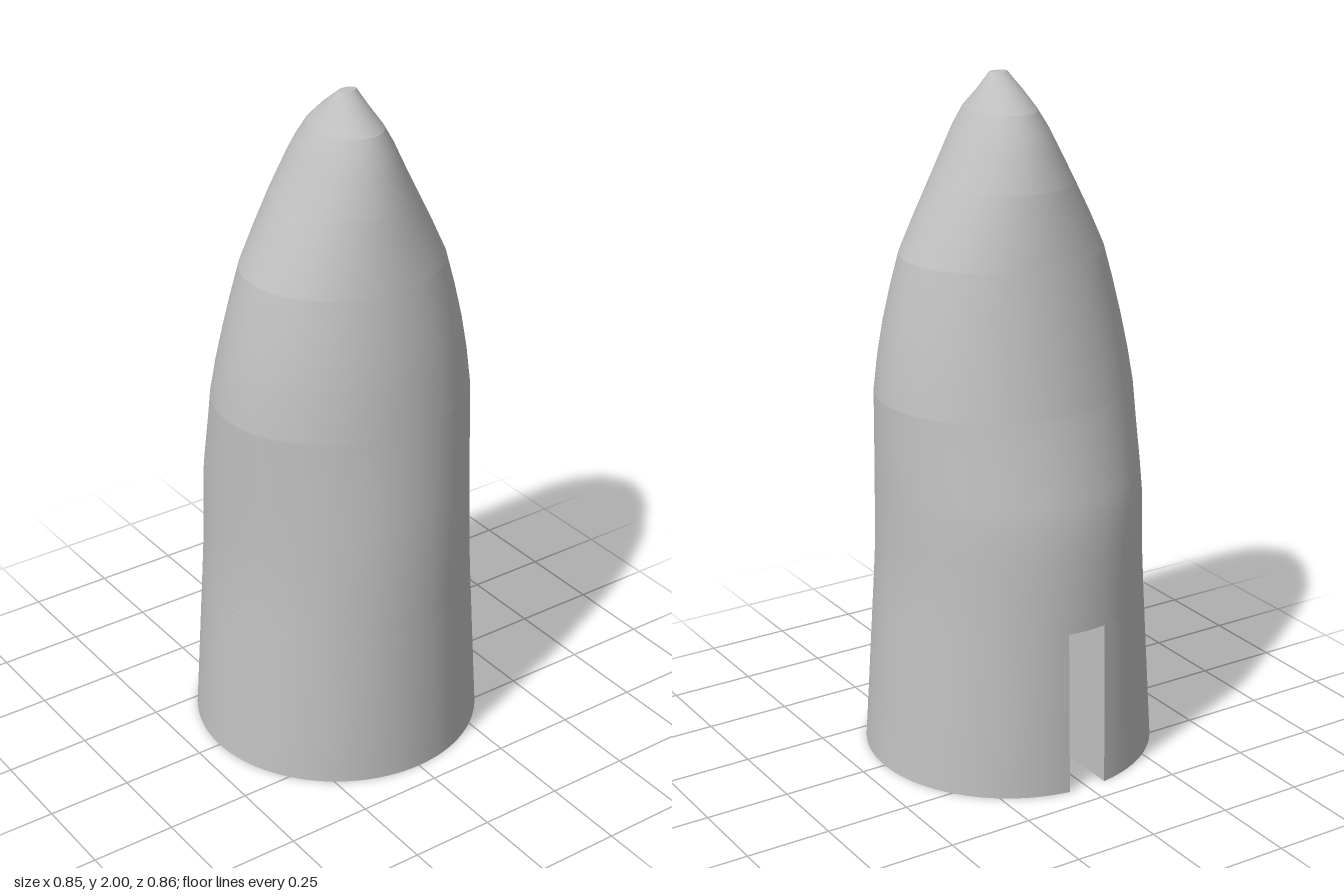
import * as THREE from 'three';

const SIDES = 96;
const SLOT_HALF = 0.06, SLOT_BACK = -0.224, SLOT_TOP = 0.49;
const HOLE = { x0: -0.09, x1: 0.13, z: 0.2, depth: 0.6 };

// Body stations [y, left edge x, right edge x, half depth z], grouped between creases
const BANDS = {
  lowerBody: [[0, -0.43, 0.425, 0.428], [SLOT_TOP, -0.419, 0.414, 0.391]],
  middleBody: [
    [SLOT_TOP, -0.419, 0.414, 0.391], [0.6, -0.416, 0.411, 0.384], [0.7, -0.412, 0.407, 0.383],
    [0.8, -0.404, 0.4, 0.383], [0.87, -0.388, 0.393, 0.383], [1.0, -0.352, 0.378, 0.383], [1.1, -0.326, 0.366, 0.383],
  ],
  shoulder: [[1.1, -0.326, 0.366, 0.383], [1.2, -0.303, 0.353, 0.37], [1.3, -0.28, 0.338, 0.351], [1.4, -0.256, 0.317, 0.328], [1.5, -0.232, 0.294, 0.301]],
  upperBody: [[1.5, -0.232, 0.294, 0.301], [1.6, -0.208, 0.268, 0.253], [1.7, -0.183, 0.243, 0.2]],
  nose: [[1.7, -0.183, 0.243, 0.2], [1.8, -0.146, 0.213, 0.148], [1.85, -0.12, 0.193, 0.124], [1.9, -0.088, 0.166, 0.095]],
  tip: [[1.9, -0.088, 0.166, 0.095], [1.95, -0.034, 0.113, 0.062], [2.0, 0.032, 0.066, 0.028]],
};

// Elliptical cross-section, counter-clockwise from above
function ring([y, x0, x1, rz], from = 0, to = Math.PI * 2, count = SIDES) {
  const pts = [];
  for (let i = 0; i <= count; i++) {
    const t = from + (to - from) * i / count;
    pts.push(new THREE.Vector3((x0 + x1) / 2 + (x1 - x0) / 2 * Math.cos(t), y, -rz * Math.sin(t)));
  }
  return pts;
}

// Half angle taken out of a section by the slot
const slotAngle = (s) => Math.asin(SLOT_HALF / s[3]);

// Skin over a stack of point rows; a closed skin shares its seam
function loft(rows, closed) {
  const n = closed ? rows[0].length - 1 : rows[0].length;
  const pos = [], index = [];
  rows.forEach((row) => row.slice(0, n).forEach((p) => pos.push(p.x, p.y, p.z)));
  for (let r = 0; r < rows.length - 1; r++) {
    for (let i = 0; i < (closed ? n : n - 1); i++) {
      const a = r * n + i, b = r * n + (i + 1) % n;
      index.push(a, b, b + n, a, b + n, a + n);
    }
  }
  const g = new THREE.BufferGeometry();
  g.setAttribute('position', new THREE.Float32BufferAttribute(pos, 3));
  g.setIndex(index);
  g.computeVertexNormals();
  return g;
}

// Flat face at one height, facing up or down
function cap(points, y, up, hole) {
  const s = up ? -1 : 1;
  const to2 = (p) => new THREE.Vector2(p.x, p.z * s);
  const shape = new THREE.Shape(points.map(to2));
  if (hole) shape.holes.push(new THREE.Path(hole.map(to2)));
  return new THREE.ShapeGeometry(shape).rotateX(s * Math.PI / 2).translate(0, y, 0);
}

export function createModel() {
  const model = new THREE.Group();
  const grey = new THREE.MeshStandardMaterial({ color: 0xc0c0c0 });
  grey.name = 'plain grey';
  const add = (name, geometry) => {
    const mesh = new THREE.Mesh(geometry, grey);
    mesh.name = name;
    model.add(mesh);
  };
  const { lowerBody, ...closedBands } = BANDS;

  // Upper bands and the small flat at the tip
  for (const [name, stations] of Object.entries(closedBands)) {
    add(name, loft(stations.map((s) => ring(s)), true));
  }
  add('tipFlat', cap(ring(BANDS.tip[2]).slice(1), 2, true));

  // Lower body wraps round, leaving the slot open
  const rows = lowerBody.map((s) => ring(s, Math.PI + slotAngle(s), Math.PI * 3 - slotAngle(s)));
  add('lowerBody', loft(rows, false));

  // Slot walls and ceiling
  const slotRows = rows.map((row) => [
    row[SIDES],
    new THREE.Vector3(SLOT_BACK, row[0].y, -SLOT_HALF),
    new THREE.Vector3(SLOT_BACK, row[0].y, SLOT_HALF),
    row[0],
  ]);
  for (let i = 0; i < 3; i++) add('slotWall', loft(slotRows.map((r) => r.slice(i, i + 2)), false));
  const top = lowerBody[1], a = slotAngle(top);
  add('slotCeiling', cap([...ring(top, Math.PI - a, Math.PI + a, 8), slotRows[1][2], slotRows[1][1]], SLOT_TOP, false));

  // Rectangular socket, walls facing inward
  const socket = (y) => [[HOLE.x0, 1], [HOLE.x0, -1], [HOLE.x1, -1], [HOLE.x1, 1], [HOLE.x0, 1]]
    .map(([x, s]) => new THREE.Vector3(x, y, s * HOLE.z));
  const low = socket(0), high = socket(HOLE.depth);
  for (let i = 0; i < 4; i++) add('socketWall', loft([low, high].map((r) => r.slice(i, i + 2)), false));
  add('socketCeiling', cap(high.slice(0, 4), HOLE.depth, false));

  // Underside with slot and socket cut out
  add('underside', cap([...rows[0], slotRows[0][1], slotRows[0][2]], 0, false, low.slice(0, 4)));
  return model;
}
